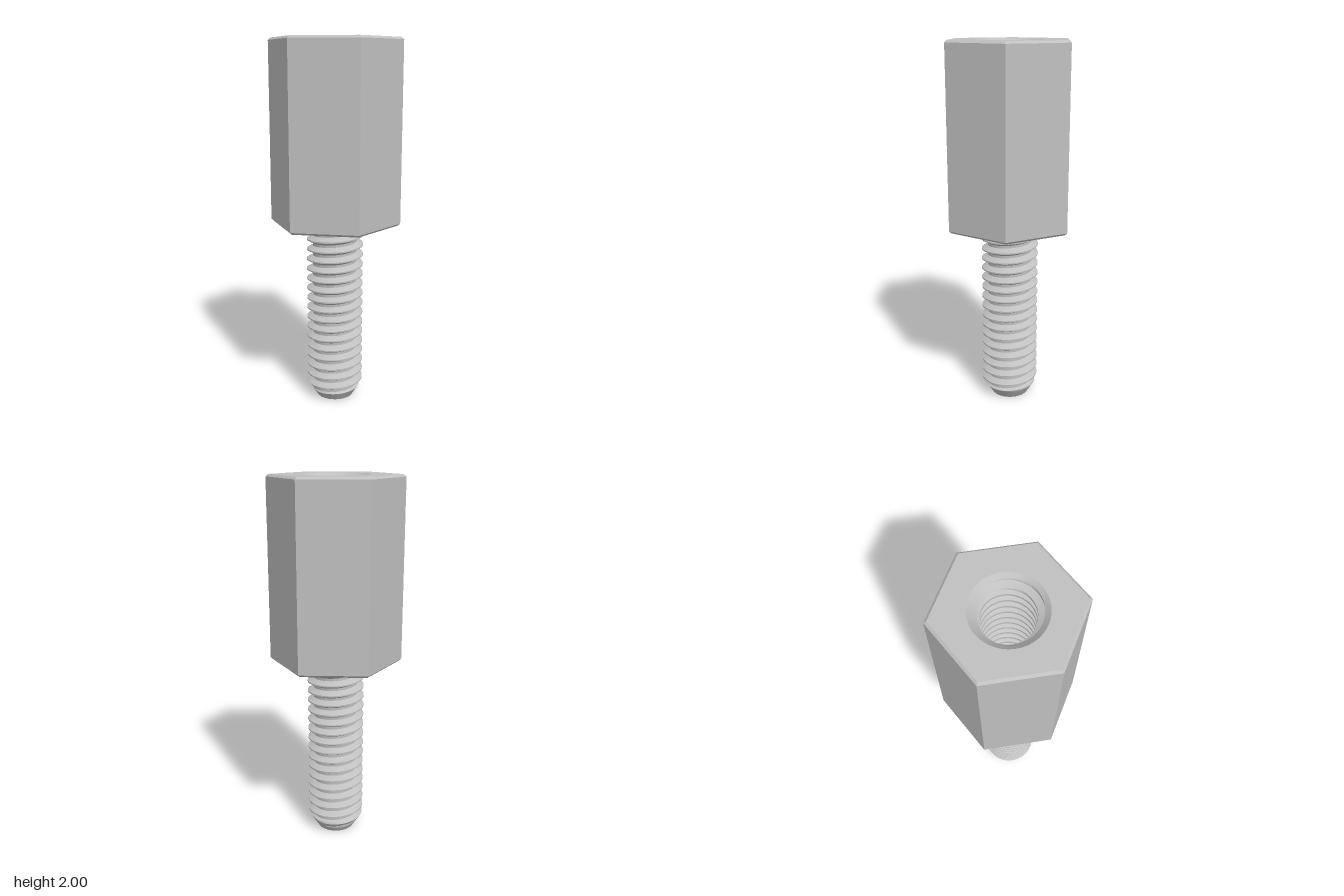
import * as THREE from 'three';
import { toCreasedNormals } from 'three/addons/utils/BufferGeometryUtils.js';

const PITCH = 0.0563;
const SEGMENTS = 64;
const BODY_BOTTOM = 1.008;
const HOLE_FLOOR = 1.25;

// Thread radius at a phase of one turn: flat crest, sloped flanks, flat root
function threadRadius(phase, root, crest) {
  const p = phase - Math.floor(phase);
  const d = Math.min(p, 1 - p);
  return crest - (crest - root) * THREE.MathUtils.clamp((d - 0.0625) / 0.3125, 0, 1);
}

// Right-handed helical surface whose rows follow the thread, trimmed to y0..y1
function helixSurface(y0, y1, root, crest, limit, inward) {
  const offsets = [0, 0.0625, 0.22, 0.375, 0.5, 0.625, 0.78, 0.9375];
  const turns = Math.ceil((y1 - y0) / PITCH) + 1;
  const point = (row, s) => {
    const a = (s / SEGMENTS) * Math.PI * 2;
    const turn = Math.floor(row / 8) - 1 + offsets[row % 8] + s / SEGMENTS;
    const y = THREE.MathUtils.clamp(y0 + turn * PITCH, y0, y1);
    const phase = (y - y0) / PITCH - s / SEGMENTS;
    const r = limit(threadRadius(phase, root, crest), y);
    return new THREE.Vector3(r * Math.cos(a), y, -r * Math.sin(a));
  };
  const pos = [];
  const addTriangle = (a, b, c) => {
    if (a.distanceTo(b) < 1e-6 || b.distanceTo(c) < 1e-6 || c.distanceTo(a) < 1e-6) return;
    for (const v of inward ? [a, c, b] : [a, b, c]) pos.push(v.x, v.y, v.z);
  };
  for (let row = 0; row < (turns + 1) * 8; row++) {
    for (let s = 0; s < SEGMENTS; s++) {
      const a = point(row, s), b = point(row, s + 1);
      const c = point(row + 1, s + 1), d = point(row + 1, s);
      addTriangle(a, b, c);
      addTriangle(a, c, d);
    }
  }
  const geometry = new THREE.BufferGeometry();
  geometry.setAttribute('position', new THREE.Float32BufferAttribute(pos, 3));
  geometry.computeVertexNormals();
  return toCreasedNormals(geometry, 0.45);
}

export function createModel() {
  const group = new THREE.Group();
  const steel = new THREE.MeshStandardMaterial({ color: 0xc0c0c0 });
  steel.name = 'steel';
  const add = (name, geometry) => {
    const mesh = new THREE.Mesh(geometry, steel);
    mesh.name = name;
    group.add(mesh);
    return mesh;
  };

  // Hexagonal body with chamfered ends, open at the top
  const profile = [
    [0, BODY_BOTTOM], [0.346, BODY_BOTTOM], [0.36, BODY_BOTTOM + 0.012], [0.36, 1.988], [0.346, 2],
  ].map(([r, y]) => new THREE.Vector2(r, y));
  const body = new THREE.LatheGeometry(profile, 6, Math.PI / 2).toNonIndexed();
  body.computeVertexNormals();
  add('hexBody', body);

  // Top face around the hole
  const hexagon = new THREE.Shape();
  for (let i = 0; i < 6; i++) {
    const a = (i * Math.PI) / 3;
    hexagon[i ? 'lineTo' : 'moveTo'](0.346 * Math.cos(a), 0.346 * Math.sin(a));
  }
  hexagon.closePath();
  hexagon.holes.push(new THREE.Path().absarc(0, 0, 0.18, 0, Math.PI * 2, true));
  const top = new THREE.ShapeGeometry(hexagon, SEGMENTS / 2);
  top.rotateX(-Math.PI / 2);
  add('topFace', top).position.y = 2;

  // Internal thread with a countersunk mouth
  add('threadedHole', helixSurface(HOLE_FLOOR, 2, 0.127, 0.158,
    (r, y) => Math.max(r, 0.18 - (2 - y)), true));
  const floor = new THREE.CircleGeometry(0.16, SEGMENTS);
  floor.rotateX(-Math.PI / 2);
  add('holeFloor', floor).position.y = HOLE_FLOOR;

  // External threaded stud with a tapered tip
  add('threadedStud', helixSurface(0, BODY_BOTTOM, 0.122, 0.156,
    (r, y) => Math.min(r, 0.102 + 0.65 * y), false));
  const tip = new THREE.CircleGeometry(0.102, SEGMENTS);
  tip.rotateX(Math.PI / 2);
  add('studTip', tip);

  return group;
}
